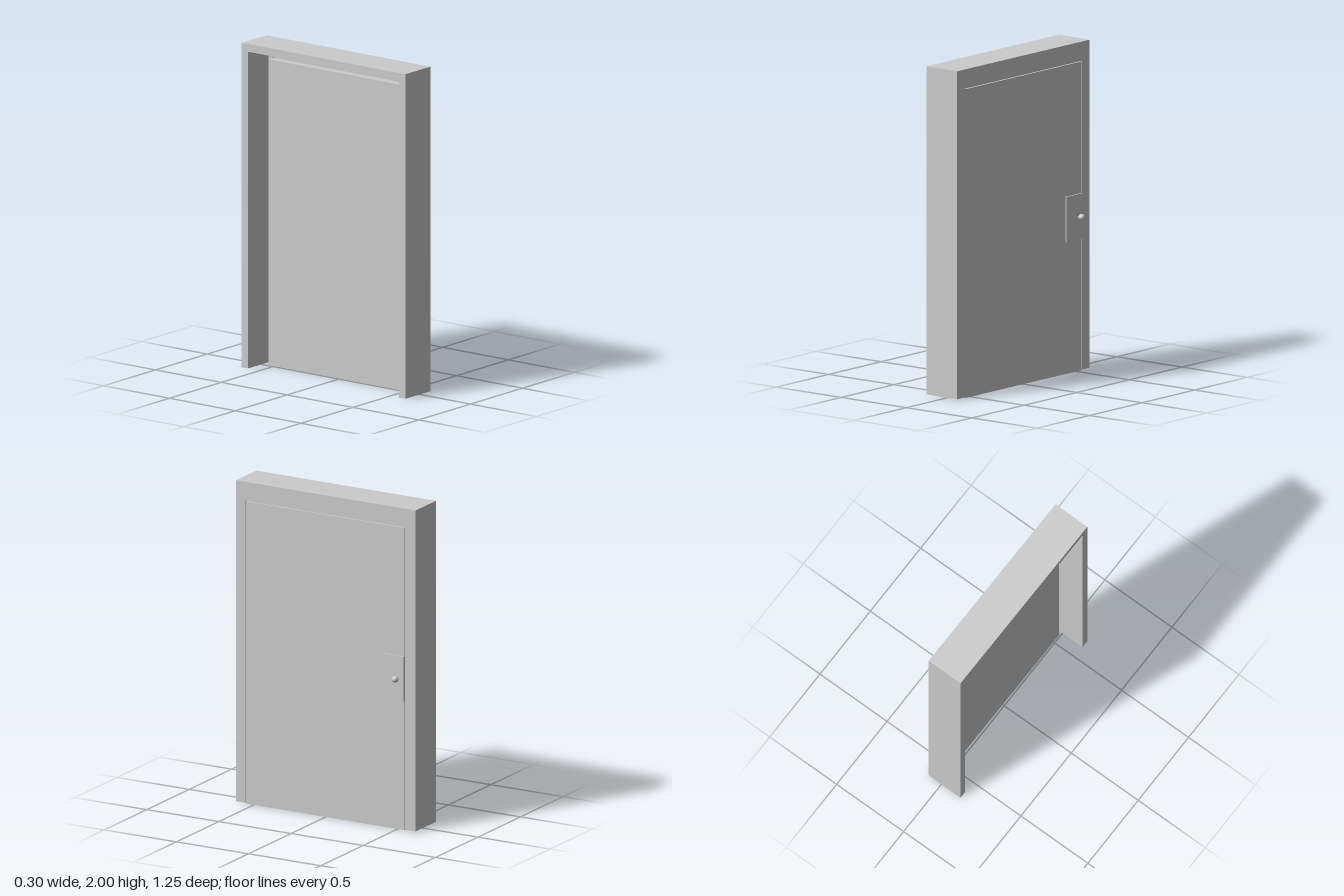
import * as THREE from 'three';

const material = new THREE.MeshStandardMaterial({ color: 0xcccccc });

function addMesh(parent, name, geometry, x = 0, y = 0, z = 0) {
  const mesh = new THREE.Mesh(geometry, material);
  mesh.name = name;
  mesh.position.set(x, y, z);
  parent.add(mesh);
  return mesh;
}

// Upside-down U in [z, y], extruded along x from x0 to x1
function addArch(parent, name, half, [openLow, openHigh, openTop], x0, x1) {
  const bottom = 0.004, top = 2;
  const shape = new THREE.Shape([
    [-half, bottom], [openLow, bottom], [openLow, openTop], [openHigh, openTop],
    [openHigh, bottom], [half, bottom], [half, top], [-half, top],
  ].map(([z, y]) => new THREE.Vector2(-z, y)));
  const geometry = new THREE.ExtrudeGeometry(shape, { depth: x1 - x0, bevelEnabled: false });
  addMesh(parent, name, geometry, x0).rotation.y = Math.PI / 2;
}

export function createModel() {
  const door = new THREE.Group();
  door.name = 'door';

  const backX = -0.147, frontX = 0.091, trimBack = 0.051, leafBack = 0.012;
  const halfWidth = 0.625;
  const openLow = -0.551, openHigh = 0.558, openTop = 1.883, gap = 0.004;

  // Thin jambs and header, open towards the back
  addArch(door, 'frame', halfWidth, [-0.578, 0.578, 1.952], backX, trimBack);

  // Wider trim around the door on the front
  addArch(door, 'frontTrim', halfWidth, [openLow, openHigh, openTop], trimBack, frontX);

  // Thick door leaf, flush with the trim and standing free of the jambs behind it
  const leafHeight = openTop - gap;
  addMesh(door, 'doorLeaf',
    new THREE.BoxGeometry(frontX - leafBack, leafHeight, openHigh - openLow - gap * 2),
    (frontX + leafBack) / 2, leafHeight / 2, (openLow + openHigh) / 2);

  // Lock plate with a slim stem and ball knob
  addMesh(door, 'lockPlate', new THREE.BoxGeometry(0.012, 0.278, 0.152), frontX + 0.003, 0.94, -0.471);
  const stem = addMesh(door, 'knobStem', new THREE.CylinderGeometry(0.004, 0.004, 0.04, 16), frontX + 0.018, 0.942, -0.505);
  stem.rotation.z = Math.PI / 2;
  addMesh(door, 'knob', new THREE.SphereGeometry(0.02, 24, 16), frontX + 0.037, 0.942, -0.505);

  // The whole door stands very slightly turned
  door.rotation.y = -0.0064;
  const root = new THREE.Group();
  root.name = 'framedDoor';
  root.add(door);
  return root;
}
